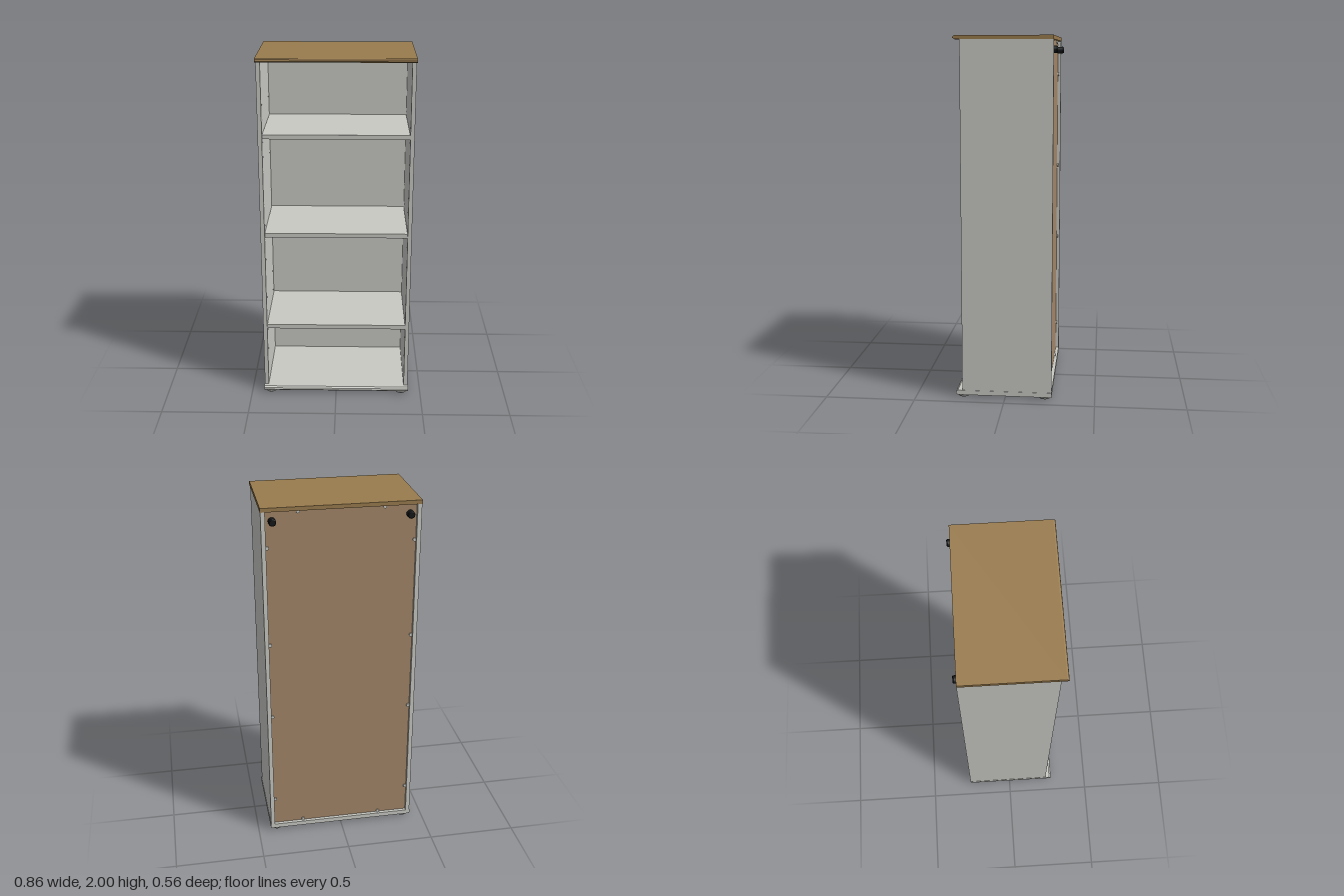
import * as THREE from 'three';

const mat = (name, color, side = THREE.FrontSide) => {
  const m = new THREE.MeshStandardMaterial({ color, side });
  m.name = name;
  return m;
};

export function createModel() {
  const group = new THREE.Group();
  group.name = 'bookcase';
  const grey = mat('light grey laminate', 0xc9c9c4);
  const oak = mat('oak brown', 0x997b4d);
  const board = mat('hardboard brown', 0xa38769);
  const black = mat('black plastic', 0x141618);
  const hole = mat('hole grey', 0x8c8c87);

  const add = (name, geo, material, x = 0, y = 0, z = 0) => {
    const m = new THREE.Mesh(geo, material);
    m.name = name;
    m.position.set(x, y, z);
    group.add(m);
    return m;
  };
  // Box given by its minimum and maximum corners
  const box = (name, material, [x0, y0, z0], [x1, y1, z1]) =>
    add(name, new THREE.BoxGeometry(x1 - x0, y1 - y0, z1 - z0), material,
      (x0 + x1) / 2, (y0 + y1) / 2, (z0 + z1) / 2);
  // Cylinder whose axis runs along z
  const pin = (name, material, r0, r1, depth, x, y, z, sides = 16) =>
    add(name, new THREE.CylinderGeometry(r0, r1, depth, sides).rotateX(Math.PI / 2), material, x, y, z);

  // Top and base boards: a z-y profile with a bevelled front, extruded across x
  const slab = (name, material, y0, y1) => {
    const h = y1 - y0;
    const s = new THREE.Shape([
      [0.26, 0], [-0.267, 0], [-0.277, h * 0.35], [-0.275, h * 0.72], [-0.265, h], [0.26, h],
    ].map(([a, b]) => new THREE.Vector2(a, b)));
    const geo = new THREE.ExtrudeGeometry(s, { depth: 0.856, bevelEnabled: false });
    geo.translate(0, 0, -0.428).rotateY(Math.PI / 2);
    add(name, geo, material, 0, y0, 0);
  };
  slab('topBoard', oak, 1.978, 2.0);
  slab('baseBoard', grey, 0.014, 0.04);

  // Shelves
  for (const y of [0.408, 0.98, 1.553])
    box('shelf', grey, [-0.402, y, -0.232], [0.402, y + 0.025, 0.235]);

  // Back panel: grey inside, hardboard outside
  box('backPanelInside', grey, [-0.403, 0.04, -0.236], [0.403, 1.978, -0.232]);
  box('backPanelOutside', board, [-0.403, 0.04, -0.241], [0.403, 1.978, -0.236]);

  for (const s of [-1, 1]) {
    // Side panels
    const a = s * 0.403, b = s * 0.426;
    box('sidePanel', grey, [Math.min(a, b), 0.04, -0.26], [Math.max(a, b), 1.978, 0.24]);

    // Shelf pin holes, as thin discs on the inner faces
    for (const z of [-0.19, 0.19])
      for (const base of [0.42, 0.992, 1.565])
        for (let i = -5; i <= 5; i++) {
          if (i === 0) continue;
          add('pinHole', new THREE.CylinderGeometry(0.003, 0.003, 0.001, 8).rotateZ(Math.PI / 2),
            hole, s * 0.4028, base + i * 0.042, z);
        }

    // Feet with a stepped rim
    for (const z of [-0.22, 0.235]) {
      add('foot', new THREE.CylinderGeometry(0.026, 0.026, 0.014, 24), grey, s * 0.387, 0.008, z);
      add('footPad', new THREE.CylinderGeometry(0.033, 0.03, 0.007, 24), grey, s * 0.387, 0.0035, z);
    }

    // Wall spacers behind and their covers inside the cabinet
    pin('wallSpacer', black, 0.02, 0.02, 0.032, s * 0.367, 1.925, -0.257, 20);
    pin('wallSpacerCap', black, 0.016, 0.02, 0.005, s * 0.367, 1.925, -0.2755, 20).rotation.y = Math.PI;
    add('spacerCover', new THREE.BoxGeometry(0.04, 0.04, 0.005), grey, s * 0.367, 1.925, -0.2295);
    pin('spacerScrew', hole, 0.005, 0.005, 0.002, s * 0.367, 1.925, -0.2265, 10);

    // Clips holding the back panel
    for (const y of [0.21, 0.77, 1.22, 1.78])
      pin('backClip', grey, 0.01, 0.01, 0.008, s * 0.396, y, -0.245, 12);
    for (const y of [0.047, 1.971])
      pin('backClip', grey, 0.01, 0.01, 0.008, s * 0.23, y, -0.245, 12);
  }
  return group;
}
